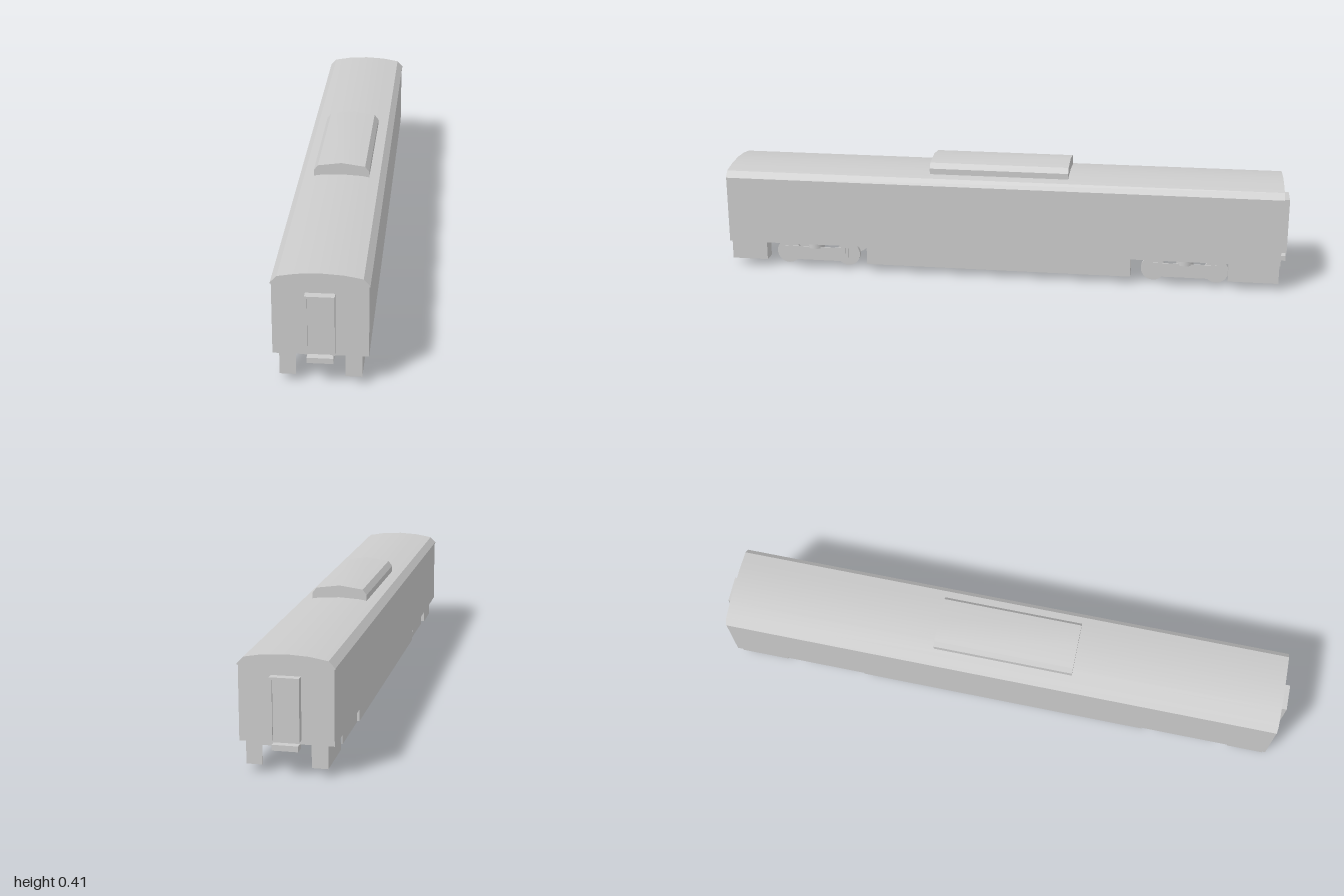
import * as THREE from 'three';
import { toCreasedNormals } from 'three/addons/utils/BufferGeometryUtils.js';

const grey = new THREE.MeshStandardMaterial({ color: 0xcccccc, side: THREE.DoubleSide });

function add(parent, name, geometry, x = 0, y = 0, z = 0) {
  const mesh = new THREE.Mesh(geometry, grey);
  mesh.name = name;
  mesh.position.set(x, y, z);
  parent.add(mesh);
  return mesh;
}

// Box given by its limits on each axis
function block(parent, name, [x0, x1], [y0, y1], [z0, z1]) {
  return add(parent, name,
    new THREE.BoxGeometry(Math.abs(x1 - x0), y1 - y0, z1 - z0),
    (x0 + x1) / 2, (y0 + y1) / 2, (z0 + z1) / 2);
}

// Mirrors a half profile in x and extrudes it from z0 to z1
function hull(half, z0, z1) {
  const mirrored = half.filter(p => p[0] > 0).reverse().map(([x, y]) => [-x, y]);
  const shape = new THREE.Shape([...half, ...mirrored].map(p => new THREE.Vector2(...p)));
  const geometry = new THREE.ExtrudeGeometry(shape, { depth: z1 - z0, bevelEnabled: false });
  geometry.translate(0, 0, z0);
  return toCreasedNormals(geometry, 0.5);
}

// Thin outer skirt with ribs reaching inwards
function skirt(parent, side, z0, z1, ribs = []) {
  const group = new THREE.Group();
  group.name = 'skirt';
  block(group, 'skirtPanel', [side * 0.123, side * 0.125], [0.025, 0.097], [z0, z1]);
  for (const z of [z0 + 0.001, ...ribs, z1 - 0.001]) {
    block(group, 'skirtRib', [side * 0.075, side * 0.124], [0.025, 0.097], [z - 0.001, z + 0.001]);
  }
  parent.add(group);
}

function bogie(z) {
  const group = new THREE.Group();
  group.name = 'bogie';
  group.position.z = z;
  for (const side of [-1, 1]) {
    block(group, 'sideFrame', [side * 0.119, side * 0.122], [0.03, 0.08], [-0.11, 0.11]);
    block(group, 'damperPost', [side * 0.076, side * 0.082], [0.03, 0.097], [-0.11, -0.09]);
    add(group, 'airSpring', new THREE.CylinderGeometry(0.03, 0.03, 0.022, 24), side * 0.1, 0.086, 0);
    for (const end of [-1, 1]) {
      const wheel = add(group, 'wheel', new THREE.CylinderGeometry(0.043, 0.043, 0.013, 28), side * 0.07, 0.043, end * 0.11);
      wheel.rotation.z = Math.PI / 2;
    }
  }
  return group;
}

export function createModel() {
  const model = new THREE.Group();
  model.name = 'railCar';

  // Body with arched roof and narrow rain gutters
  add(model, 'body', hull([
    [0.145, 0.097], [0.145, 0.331], [0.148, 0.331], [0.148, 0.335],
    [0.128, 0.356], [0.07, 0.366], [0, 0.37],
  ], -0.975, 0.975));

  // Roof equipment pod
  add(model, 'roofPod', hull([
    [0.094, 0.355], [0.094, 0.382], [0.08, 0.4], [0, 0.411],
  ], -0.237, 0.25));

  // Gangway and threshold plate at both ends
  for (const end of [-1, 1]) {
    const gangway = new THREE.Group();
    gangway.name = 'gangway';
    if (end < 0) gangway.rotation.y = Math.PI;
    block(gangway, 'gangwayDoor', [-0.044, 0.044], [0.11, 0.305], [0.97, 0.993]);
    for (const side of [-1, 1]) {
      block(gangway, 'gangwayPost', [side * 0.037, side * 0.045], [0.11, 0.305], [0.97, 1]);
    }
    block(gangway, 'gangwayLintel', [-0.045, 0.045], [0.297, 0.305], [0.97, 1]);
    block(gangway, 'thresholdPlate', [-0.04, 0.04], [0.08, 0.098], [0.96, 0.998]);
    model.add(gangway);
  }

  // Underfloor skirts
  for (const side of [-1, 1]) {
    skirt(model, side, 0.845, 0.973);
    skirt(model, side, -0.973, -0.8);
  }
  skirt(model, 1, -0.462, 0.478, [-0.35, -0.25, -0.14, -0.04, 0.06, 0.16, 0.3]);
  skirt(model, -1, -0.51, 0.53, [-0.25, -0.08, -0.04, 0.31, 0.41]);

  // Running gear
  for (const z of [0.668, -0.65]) model.add(bogie(z));

  return model;
}
